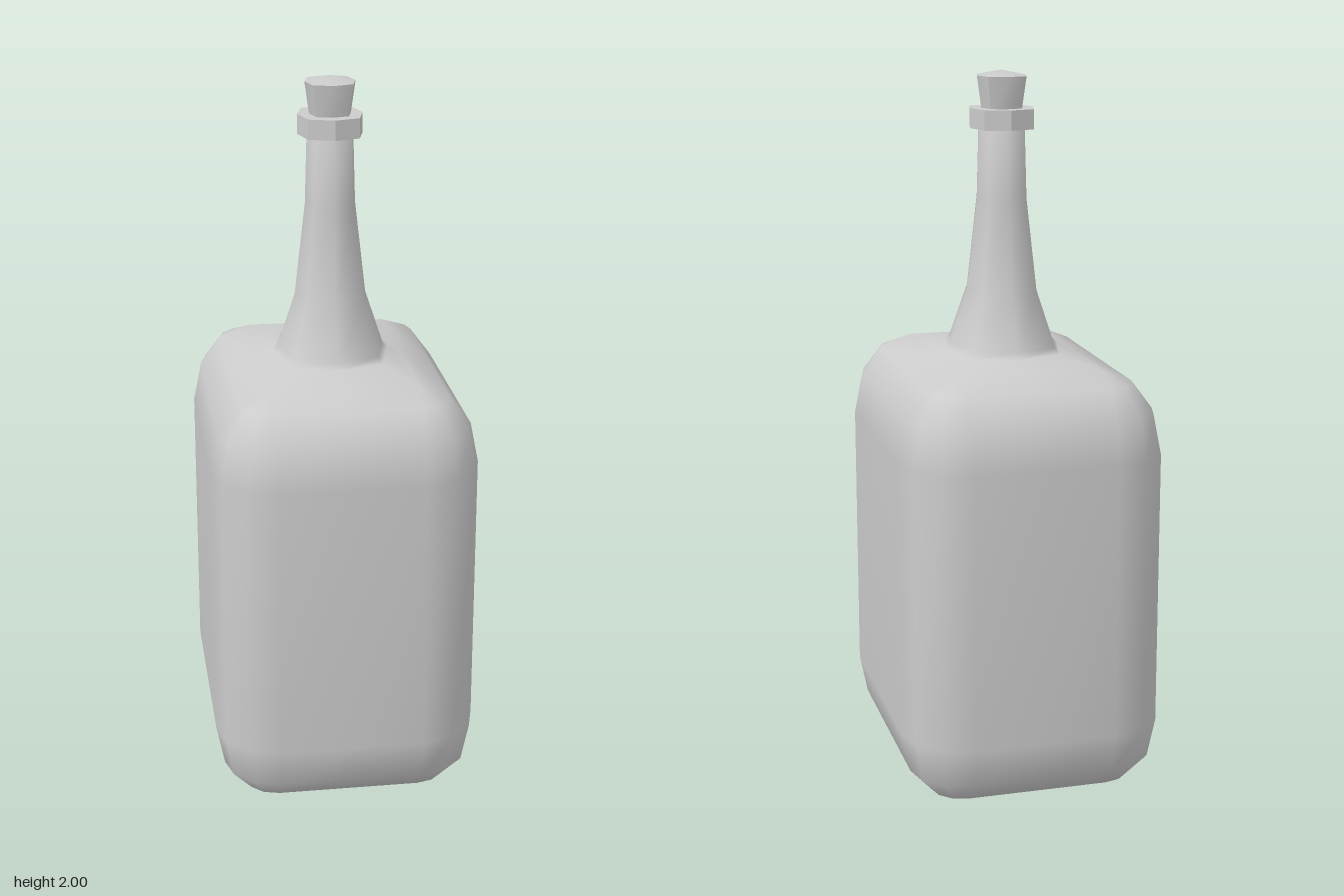
import * as THREE from 'three';
import { mergeVertices, toCreasedNormals } from 'three/addons/utils/BufferGeometryUtils.js';

const SX = [1, -1, -1, 1];
const SZ = [1, 1, -1, -1];

// Rounded rectangle ring: core half sizes plus a corner radius, 5 points per quarter
function boxRing(y, r, cx = 0.2, cz = 0.305) {
  const ring = [];
  for (let k = 0; k < 4; k++) {
    const axis = k * Math.PI / 2;
    ring.push([(cx + r) * Math.round(Math.cos(axis)), y, (cz + r) * Math.round(Math.sin(axis))]);
    for (let i = 0; i < 4; i++) {
      const a = axis + i * Math.PI / 6;
      ring.push([SX[k] * cx + r * Math.cos(a), y, SZ[k] * cz + r * Math.sin(a)]);
    }
  }
  return ring;
}

// Octagon ring with the same point count; each corner group shares the diagonal point
function octRing(y, rx, rz) {
  const ring = [];
  for (let k = 0; k < 4; k++) {
    const axis = k * Math.PI / 2;
    ring.push([rx * Math.round(Math.cos(axis)), y, rz * Math.round(Math.sin(axis))]);
    for (let i = 0; i < 4; i++) ring.push([SX[k] * rx * 0.78, y, SZ[k] * rz * 0.78]);
  }
  return ring;
}

// Skin a stack of rings, closing both ends, and drop collapsed triangles
function loft(rings, topY) {
  const pos = [];
  const same = (p, q) => Math.hypot(p[0] - q[0], p[1] - q[1], p[2] - q[2]) < 1e-5;
  const tri = (a, b, c) => {
    if (!same(a, b) && !same(b, c) && !same(c, a)) pos.push(...a, ...b, ...c);
  };
  const n = rings[0].length;
  const last = rings[rings.length - 1];
  for (let j = 0; j < n; j++) {
    const k = (j + 1) % n;
    for (let i = 0; i < rings.length - 1; i++) {
      const lo = rings[i], hi = rings[i + 1];
      tri(lo[j], hi[j], lo[k]);
      tri(lo[k], hi[j], hi[k]);
    }
    tri([0, rings[0][0][1], 0], rings[0][j], rings[0][k]);
    tri([0, topY, 0], last[k], last[j]);
  }
  const geo = new THREE.BufferGeometry();
  geo.setAttribute('position', new THREE.Float32BufferAttribute(pos, 3));
  return geo;
}

export function createModel() {
  const group = new THREE.Group();
  const material = new THREE.MeshStandardMaterial({ color: 0xcccccc });
  const add = (name, geo) => {
    const mesh = new THREE.Mesh(geo, material);
    mesh.name = name;
    group.add(mesh);
  };

  // Square body flowing through the shoulder into the neck
  const body = [[0, 0], [0.024, 0.087], [0.087, 0.147], [0.2, 0.17],
    [0.98, 0.17], [1.093, 0.147], [1.173, 0.087], [1.207, 0]];
  const neck = [[1.223, 0.165, 0.195], [1.24, 0.15, 0.18], [1.39, 0.1, 0.115],
    [1.65, 0.07, 0.083], [1.86, 0.064, 0.077]];
  const bottle = mergeVertices(loft([
    ...body.map(([y, r]) => boxRing(y, r)),
    ...neck.map(([y, rx, rz]) => octRing(y, rx, rz)),
  ], 1.86), 1e-4);
  bottle.computeVertexNormals();
  add('bottle', bottle);

  // Faceted collar around the mouth
  const collar = loft([octRing(1.842, 0.09, 0.104), octRing(1.897, 0.09, 0.104)], 1.897);
  add('collar', toCreasedNormals(collar, 0.4));

  // Tapered cork with a slightly domed top
  const cork = loft([octRing(1.88, 0.055, 0.063), octRing(1.985, 0.07, 0.08)], 2);
  add('cork', toCreasedNormals(cork, 1));

  return group;
}
